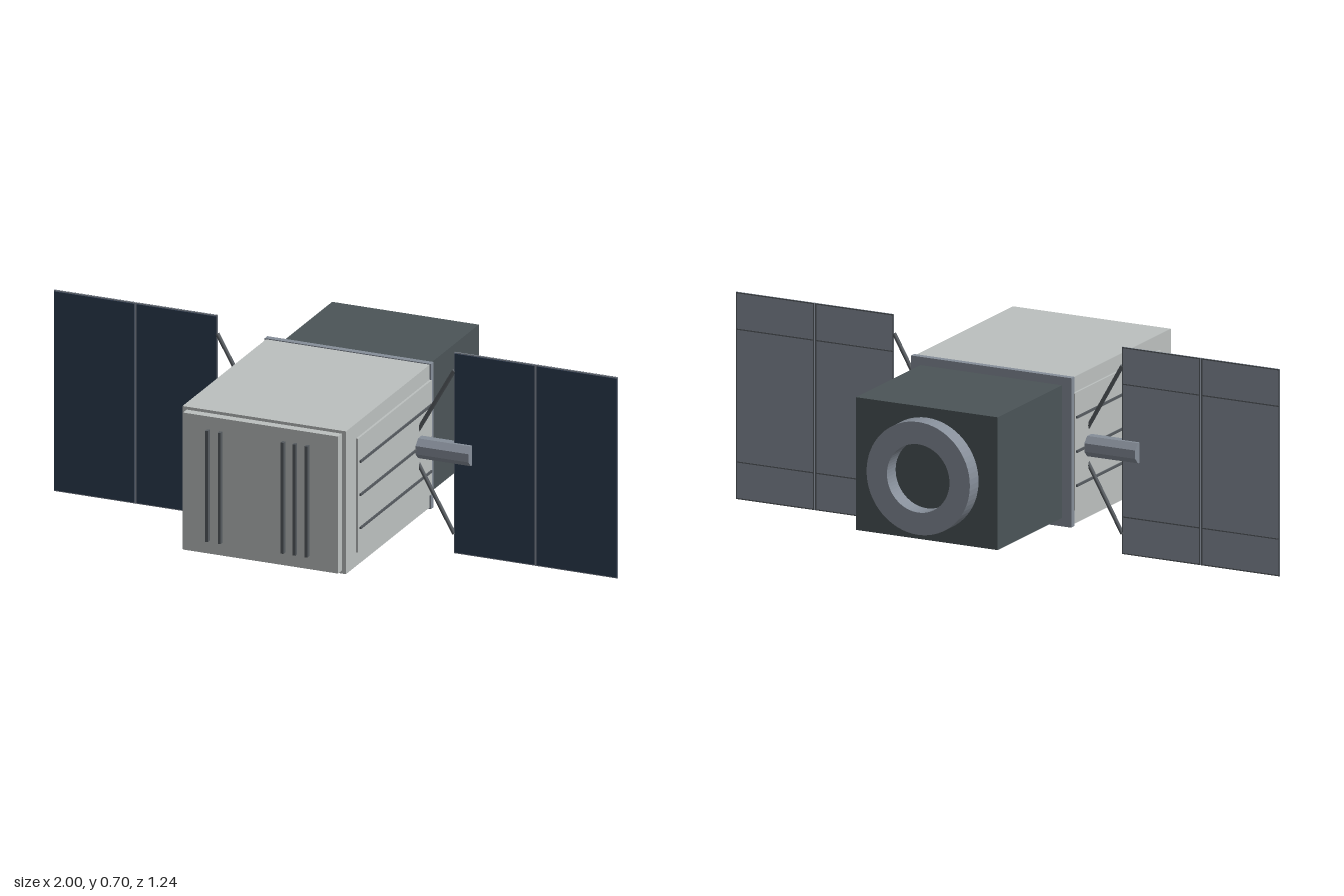
import * as THREE from 'three';

const mat = (name, color) => {
  const m = new THREE.MeshStandardMaterial({ color });
  m.name = name;
  return m;
};

export function createModel() {
  const model = new THREE.Group();
  model.name = 'satellite';
  const hull = mat('light grey hull', 0xbcc0bf);
  const metal = mat('blue grey metal', 0x868e99);
  const dark = mat('dark grey service module', 0x4b5457);
  const rail = mat('dark rail', 0x565b60);
  const cell = mat('navy solar cell', 0x2c3b50);
  const midY = 0.35;

  const add = (parent, name, geometry, material) => {
    const mesh = new THREE.Mesh(geometry, material);
    mesh.name = name;
    parent.add(mesh);
    return mesh;
  };
  // Box given by its lower and upper limits on each axis
  const box = (parent, name, material, [x0, x1], [y0, y1], [z0, z1]) => {
    const mesh = add(parent, name, new THREE.BoxGeometry(x1 - x0, y1 - y0, z1 - z0), material);
    mesh.position.set((x0 + x1) / 2, (y0 + y1) / 2, (z0 + z1) / 2);
    return mesh;
  };
  // Round bar between two points
  const bar = (parent, name, material, a, b, radius, sides) => {
    const dir = b.clone().sub(a);
    const g = new THREE.CylinderGeometry(radius, radius, dir.length(), sides);
    const mesh = add(parent, name, g, material);
    mesh.position.copy(a).add(b).multiplyScalar(0.5);
    mesh.quaternion.setFromUnitVectors(new THREE.Vector3(0, 1, 0), dir.normalize());
    return mesh;
  };

  // Main hull, front cover, collar and rear service module
  box(model, 'mainHull', hull, [-0.29, 0.29], [0.105, 0.6], [-0.1, 0.575]);
  box(model, 'frontCover', hull, [-0.275, 0.275], [0.115, 0.59], [0.575, 0.605]);
  box(model, 'collar', metal, [-0.295, 0.295], [0.1, 0.603], [-0.118, -0.097]);
  box(model, 'serviceModule', dark, [-0.26, 0.26], [0.128, 0.575], [-0.56, -0.118]);

  // Vertical rails on the front cover
  for (const x of [-0.185, -0.14, 0.083, 0.125, 0.168]) {
    box(model, 'frontRail', rail, [x - 0.005, x + 0.005], [0.16, 0.545], [0.605, 0.62]);
  }

  // Docking ring with an open centre, at the rear
  const ring = new THREE.Shape().absarc(0, 0, 0.19, 0, Math.PI * 2, false);
  ring.holes.push(new THREE.Path().absarc(0, 0, 0.115, 0, Math.PI * 2, true));
  const ringGeometry = new THREE.ExtrudeGeometry(ring, { depth: 0.06, bevelEnabled: false, curveSegments: 32 });
  add(model, 'dockingRing', ringGeometry, metal).position.set(0, midY, -0.62);

  // One side: raised panel, rails, boom, struts and solar wing
  const buildSide = (name, s) => {
    const side = new THREE.Group();
    side.name = name;
    model.add(side);
    const span = (a, b) => (s > 0 ? [a, b] : [-b, -a]);

    box(side, 'sidePanel', hull, span(0.285, 0.298), [0.153, 0.548], [-0.099, 0.495]);
    for (const y of [0.235, midY, 0.465]) {
      box(side, 'sideRail', rail, span(0.29, 0.303), [y - 0.004, y + 0.004], [-0.09, 0.483]);
    }

    // Octagonal boom
    const boom = new THREE.CylinderGeometry(0.037, 0.037, 0.2, 8).toNonIndexed();
    boom.computeVertexNormals();
    boom.rotateY(Math.PI / 8);
    boom.rotateZ(Math.PI / 2);
    add(side, 'boom', boom, metal).position.set(s * 0.385, midY, 0);

    // Diagonal struts
    for (const v of [-1, 1]) {
      bar(side, 'strut', rail,
        new THREE.Vector3(s * 0.288, midY + v * 0.05, 0),
        new THREE.Vector3(s * 0.42, midY + v * 0.283, 0), 0.007, 8);
    }

    // Solar wing: two backed cell sheets with thin dark trim and rear seams
    for (const [a, b] of [[0.42, 0.708], [0.712, 1]]) {
      box(side, 'wingBack', metal, span(a, b), [0, 0.697], [-0.003, 0.001]);
      box(side, 'solarCells', cell, span(a + 0.002, b - 0.002), [0.004, 0.693], [0.001, 0.004]);
      for (const y of [0.002, 0.125, 0.572, 0.695]) {
        box(side, 'rearSeam', rail, span(a, b), [y - 0.002, y + 0.002], [-0.004, -0.003]);
      }
      for (const x of [a + 0.002, b - 0.002]) {
        box(side, 'rearTrim', rail, span(x - 0.002, x + 0.002), [0, 0.697], [-0.004, -0.003]);
      }
    }
    box(side, 'wingHinge', metal, span(0.708, 0.712), [0, 0.697], [-0.002, 0.002]);
  };
  buildSide('leftSide', 1);
  buildSide('rightSide', -1);

  return model;
}
